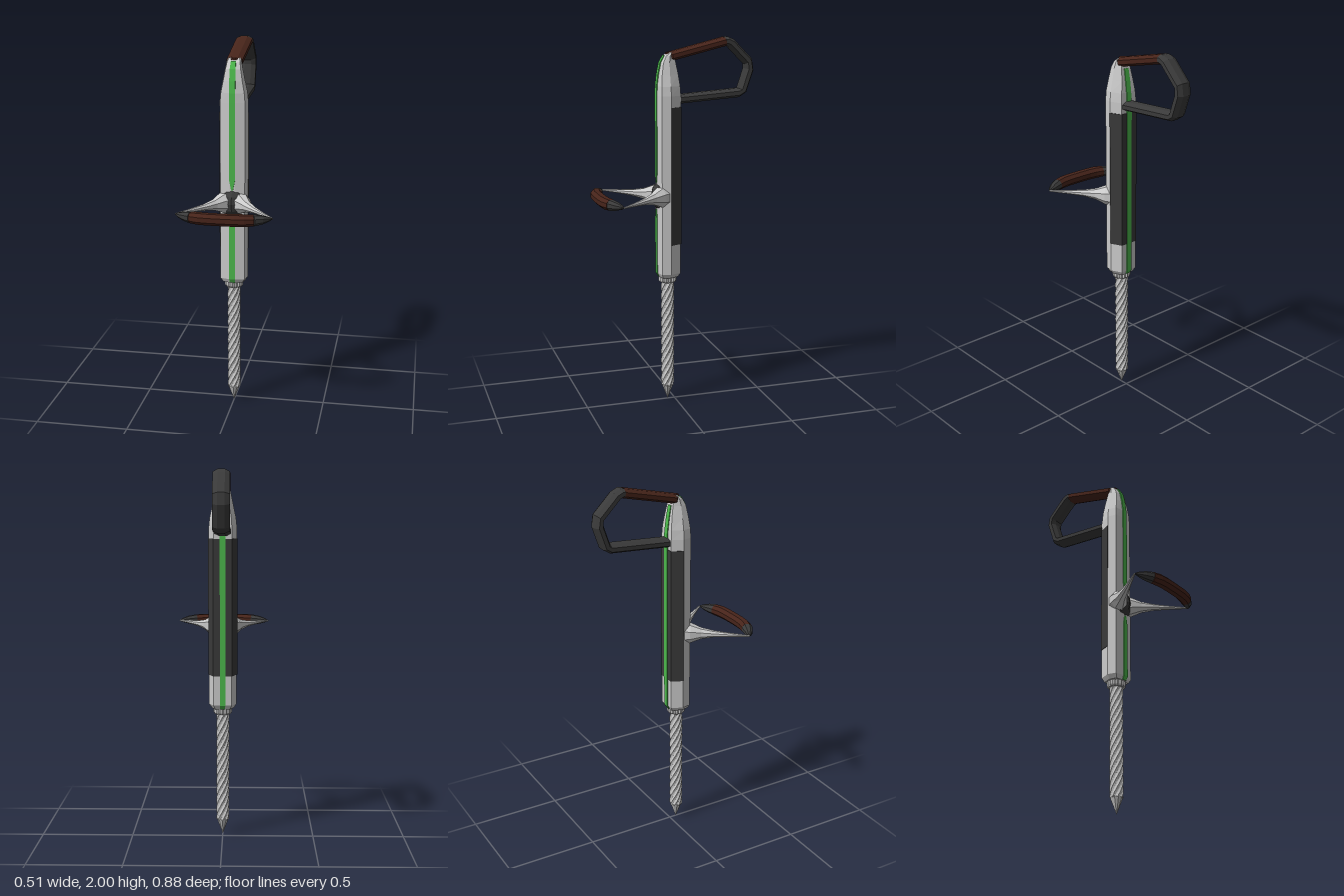
import * as THREE from 'three';

const material = (color) => new THREE.MeshStandardMaterial({ color, flatShading: true });
const V = (x, y, z) => new THREE.Vector3(x, y, z);

// Skin a list of rings (counterclockwise seen from the end) and cap both ends.
function loft(rings) {
  const n = rings[0].length;
  const index = [];
  for (let r = 0; r < rings.length - 1; r++) {
    for (let i = 0; i < n; i++) {
      const a = r * n + i, b = r * n + (i + 1) % n;
      index.push(a, b, b + n, a, b + n, a + n);
    }
  }
  const last = (rings.length - 1) * n;
  for (let i = 1; i < n - 1; i++) {
    index.push(0, i + 1, i, last, last + i, last + i + 1);
  }
  const g = new THREE.BufferGeometry().setFromPoints(rings.flat());
  g.setIndex(index);
  g.computeVertexNormals();
  return g;
}

// Sweep a section along stations { p, a, b }: a is half size along up, b across it.
function sweep(stations, up, section) {
  return loft(stations.map(({ p, a, b }, i) => {
    const prev = stations[Math.max(i - 1, 0)].p;
    const next = stations[Math.min(i + 1, stations.length - 1)].p;
    const t = next.clone().sub(prev).normalize();
    const v = t.cross(up).normalize();
    return section.map(([s, w]) => p.clone().addScaledVector(up, s * a).addScaledVector(v, w * b));
  }));
}

const OCTAGON = [[1, -0.45], [1, 0.45], [0.42, 1], [-0.42, 1], [-1, 0.45], [-1, -0.45], [-0.42, -1], [0.42, -1]];
const RECT = [[1, -1], [1, 1], [-1, 1], [-1, -1]];
const X = V(1, 0, 0), Y = V(0, 1, 0);
const AXIS_Z = 0.04;
const FOOT_Y = 1.163;

export function createModel() {
  const model = new THREE.Group();
  const grey = material(0xcccccc);
  const dark = material(0x3a3a3a);
  const brown = material(0x47241a);
  const green = material(0x4cb84c);
  const add = (name, geometry, mat) => {
    const mesh = new THREE.Mesh(geometry, mat);
    mesh.name = name;
    model.add(mesh);
    return mesh;
  };

  // Body: faceted column that tapers at the top [y, half width, back z, front z]
  const levels = [
    [0.715, 0.06, -0.008, 0.09], [0.738, 0.076, -0.02, 0.1], [1.7, 0.076, -0.02, 0.1],
    [1.75, 0.071, -0.017, 0.099], [1.81, 0.058, -0.009, 0.092], [1.87, 0.046, 0.002, 0.08],
    [1.905, 0.039, 0.01, 0.06], [1.922, 0.032, 0.016, 0.035],
  ];
  const half = [[0.2, 1], [0.86, 0.9], [1, 0.5], [0.65, 0]];
  const outline = [...half, ...half.map(([x, t]) => [-x, t]).reverse()];
  add('body', loft(levels.map(([y, w, z0, z1]) =>
    outline.map(([x, t]) => V(x * w, y, z0 + (z1 - z0) * t)))), grey);

  // Grip panel wrapped round the back half
  const gripOutline = [[0.079, 0.04], [0.051, -0.023], [-0.051, -0.023], [-0.079, 0.04]];
  add('gripPanel', loft([0.9, 1.64].map((y) => gripOutline.map(([x, z]) => V(x, y, z)))), dark);

  // Glowing strips along front and back [z, y, half width]
  const strip = (name, points) => add(name, sweep(
    points.map(([z, y, a]) => ({ p: V(0, y, z), a, b: 0.004 })), X, RECT), green);
  strip('frontStripUpper', [[0.1, 1.235, 0.005], [0.1, 1.29, 0.016], [0.1, 1.7, 0.016],
    [0.099, 1.75, 0.016], [0.092, 1.81, 0.016], [0.08, 1.87, 0.015], [0.058, 1.907, 0.013]]);
  strip('frontStripLower', [[0.09, 0.718, 0.014], [0.1, 0.738, 0.016], [0.1, 1.04, 0.016], [0.1, 1.09, 0.005]]);
  strip('backStrip', [[-0.01, 0.718, 0.013], [-0.022, 0.738, 0.015], [-0.022, 1.7, 0.015],
    [-0.017, 1.75, 0.015], [-0.009, 1.81, 0.015], [0.002, 1.87, 0.013]]);

  // Handle: flattened octagonal bar bent into a loop [z, y]
  const handle = (name, points, mat) => add(name, sweep(
    points.map(([z, y, a = 0.044]) => ({ p: V(0, y, z), a, b: 0.024 })), X, OCTAGON), mat);
  handle('handleGrip', [[0.045, 1.9, 0.016], [0.02, 1.903, 0.042], [-0.275, 1.974]], brown);
  handle('handleLoop', [[-0.275, 1.974], [-0.285, 1.976], [-0.31, 1.965], [-0.407, 1.868],
    [-0.413, 1.825], [-0.376, 1.715], [-0.354, 1.702], [0.01, 1.676]], dark);

  // Collar: faceted boss round the roots of the two arms
  const collar = add('collar', new THREE.SphereGeometry(1, 8, 6), dark);
  collar.scale.set(0.078, 0.078, 0.062);
  collar.position.set(0, FOOT_Y, 0.07);

  // Arms: thin curved horns reaching out to the foot bar [x, z, half height, half width]
  const armPoints = [[0.03, 0.07, 0.055, 0.05], [0.055, 0.1, 0.05, 0.044], [0.088, 0.146, 0.028, 0.027],
    [0.13, 0.2, 0.016, 0.018], [0.18, 0.26, 0.01, 0.011], [0.25, 0.345, 0.004, 0.004]];
  for (const side of [1, -1]) {
    add(side > 0 ? 'leftArm' : 'rightArm', sweep(armPoints.map(([x, z, a, b]) =>
      ({ p: V(side * x, FOOT_Y, z), a, b })), Y, OCTAGON), grey);
  }

  // Foot bar: bowed bar with dark pointed ends [x, z, half thickness]
  const barMid = [[0, 0.409, 0.031], [0.07, 0.408, 0.031], [0.115, 0.403, 0.031], [0.16, 0.39, 0.029]];
  const barEnd = [[0.16, 0.39, 0.029], [0.2, 0.372, 0.023], [0.23, 0.356, 0.013], [0.25, 0.345, 0.003]];
  const bar = (name, points, mat) => add(name, sweep(
    points.map(([x, z, r]) => ({ p: V(x, FOOT_Y, z), a: r * 0.95, b: r })), Y, OCTAGON), mat);
  const mirror = (points) => points.map(([x, z, r]) => [-x, z, r]);
  bar('footBar', [...mirror(barMid.slice(1)).reverse(), ...barMid], brown);
  bar('leftBarEnd', barEnd, dark);
  bar('rightBarEnd', mirror(barEnd), dark);

  // Chuck: ribbed ring under the body
  const ribs = 16;
  add('chuck', loft([[0.683, 0.9], [0.692, 1], [0.722, 1]].map(([y, s]) =>
    Array.from({ length: ribs * 2 }, (_, i) => {
      const a = (i / ribs) * Math.PI, r = s * (i % 2 ? 0.044 : 0.05);
      return V(r * Math.cos(a), y, AXIS_Z - r * Math.sin(a));
    }))), grey);

  // Drill: fluted rod twisted along its length
  const steps = 72, flutes = 8;
  add('drill', loft(Array.from({ length: steps + 1 }, (_, k) =>
    Array.from({ length: flutes * 2 }, (_, i) => {
      const a = (i / flutes) * Math.PI + (k / steps) * 9;
      const r = i % 2 ? 0.03 : 0.036;
      return V(r * Math.cos(a), 0.085 + 0.61 * k / steps, AXIS_Z - r * Math.sin(a));
    }))), grey);

  // Point at the bottom of the drill
  const tip = add('drillTip', new THREE.ConeGeometry(0.034, 0.09, 10), grey);
  tip.rotation.x = Math.PI;
  tip.position.set(0, 0.045, AXIS_Z);

  return model;
}
